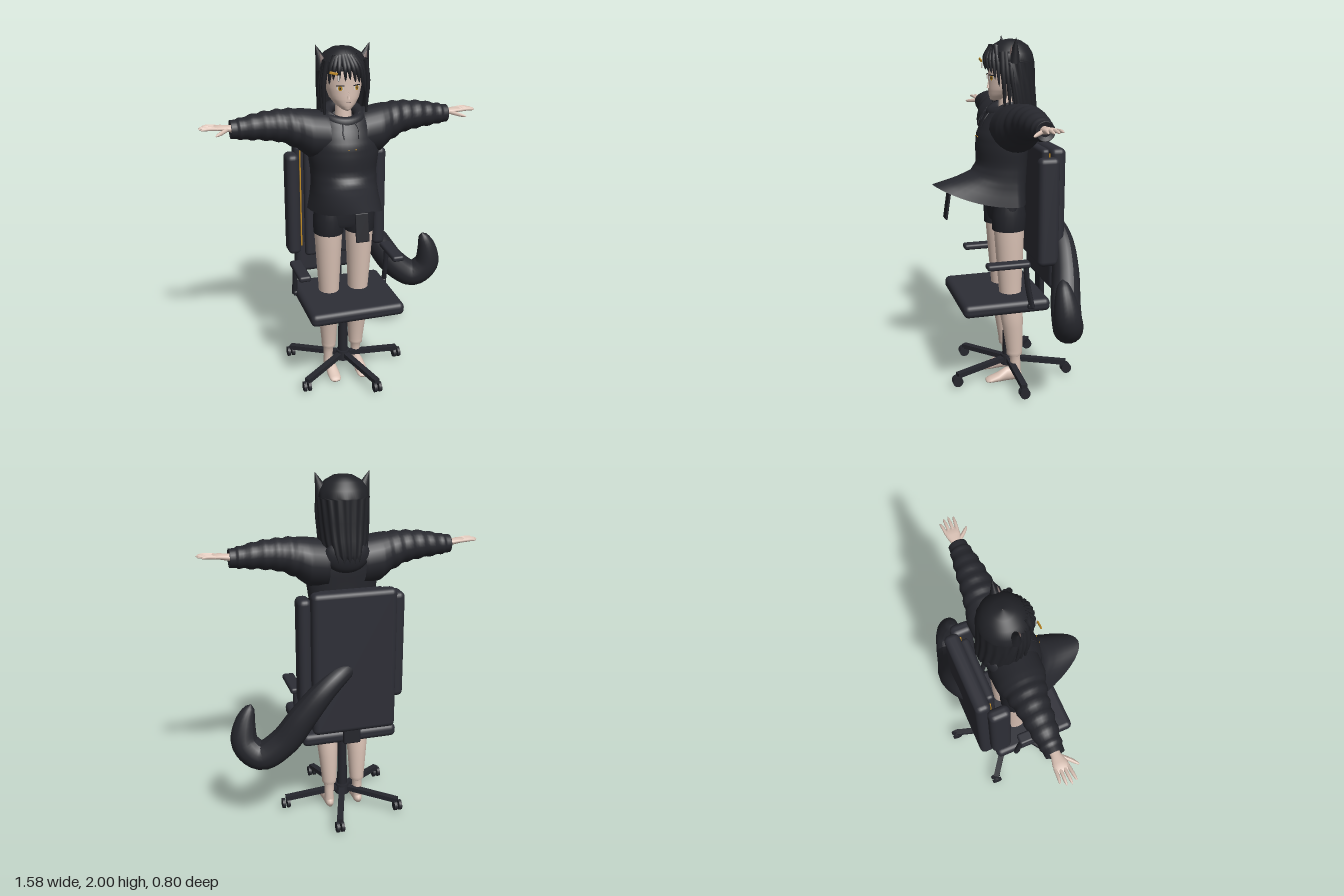
import * as THREE from 'three';
import { RoundedBoxGeometry } from 'three/addons/geometries/RoundedBoxGeometry.js';

const V = (x, y, z) => new THREE.Vector3(x, y, z);
const mat = (name, color, side = THREE.DoubleSide) => {
  const m = new THREE.MeshStandardMaterial({ color, side });
  m.name = name;
  return m;
};

// Skin a list of rings (arrays of points) with quads
function loft(rings, closed = true) {
  const n = rings[0].length, pos = [], idx = [];
  rings.forEach(r => r.forEach(p => pos.push(p.x, p.y, p.z)));
  for (let j = 0; j < rings.length - 1; j++) {
    for (let i = 0; i < (closed ? n : n - 1); i++) {
      const k = (i + 1) % n, a = j * n + i, b = j * n + k, c = a + n, d = b + n;
      idx.push(a, b, c, b, d, c);
    }
  }
  const g = new THREE.BufferGeometry();
  g.setAttribute('position', new THREE.Float32BufferAttribute(pos, 3));
  g.setIndex(idx);
  g.computeVertexNormals();
  return g;
}

// Ellipse ring across the given axis
function ring(axis, x, y, z, ru, rv = ru, n = 24) {
  return Array.from({ length: n }, (_, i) => {
    const a = i / n * Math.PI * 2, u = Math.cos(a) * ru, v = Math.sin(a) * rv;
    if (axis === 'x') return V(x, y + u, z + v);
    if (axis === 'y') return V(x + u, y, z + v);
    return V(x + u, y + v, z);
  });
}

// Insert evenly interpolated rows between key rows
function dense(keys, n) {
  const out = [];
  keys.slice(0, -1).forEach((k, j) => {
    for (let i = 0; i < n; i++) out.push(k.map((v, c) => v + (keys[j + 1][c] - v) * i / n));
  });
  out.push(keys[keys.length - 1]);
  return out;
}

// Tube whose radius follows a rule along its length
function taper(points, radius, n = 12, sides = 8) {
  const curve = new THREE.CatmullRomCurve3(points.map(p => V(...p)));
  const g = new THREE.TubeGeometry(curve, n, 1, sides), p = g.attributes.position, v = V(0, 0, 0);
  for (let i = 0; i < p.count; i++) {
    const u = Math.floor(i / (sides + 1)) / n, c = curve.getPointAt(u);
    v.fromBufferAttribute(p, i).sub(c).multiplyScalar(Math.max(radius(u), 0.0003)).add(c);
    p.setXYZ(i, v.x, v.y, v.z);
  }
  g.computeVertexNormals();
  return g;
}

export function createModel() {
  const model = new THREE.Group();
  const M = {
    hoodie: mat('hoodie cloth', 0x26272d), hair: mat('hair black', 0x212227),
    skin: mat('skin', 0xdac2b5), shorts: mat('shorts cloth', 0x222329),
    chair: mat('chair padding', 0x2d2e36, THREE.FrontSide), frame: mat('chair frame', 0x25262d),
    gold: mat('gold', 0xc08a22), inner: mat('inner ear', 0x7a6a68), white: mat('eye white', 0xdcd8d4),
  };
  const add = (name, geo, m, x = 0, y = 0, z = 0, parent = model) => {
    const o = new THREE.Mesh(geo, m);
    o.name = name;
    o.position.set(x, y, z);
    parent.add(o);
    return o;
  };
  const pad = (name, w, h, d, x, y, z, r = 0.025, m = M.chair) =>
    add(name, new RoundedBoxGeometry(w, h, d, 3, r), m, x, y, z);

  // Chair padding
  pad('seat', 0.55, 0.075, 0.5, 0, 0.528, 0.04, 0.03);
  pad('backrest', 0.47, 0.81, 0.085, 0, 1.005, -0.257, 0.03);
  pad('backCushion', 0.37, 0.68, 0.05, 0, 1.06, -0.2, 0.02);
  pad('backBracket', 0.1, 0.14, 0.03, 0, 0.57, -0.23, 0.01, M.frame);
  for (const s of [-1, 1]) {
    pad('backWing', 0.075, 0.61, 0.12, s * 0.26, 1.065, -0.187, 0.03);
    pad('backStripe', 0.008, 0.6, 0.009, s * 0.203, 1.08, -0.212, 0.002, M.gold);
    const top = s < 0 ? 0.737 : 0.787;
    pad('armPad', 0.07, 0.034, 0.245, s * 0.277, top, 0.043, 0.014);
    add('armPost', taper([[s * 0.282, 0.53, -0.095], [s * 0.282, 0.65, -0.07], [s * 0.282, top, -0.055]],
      () => 0.016), M.frame);
    pad('armBracket', 0.06, 0.03, 0.04, s * 0.262, 0.535, -0.09, 0.01, M.frame);
  }

  // Five-star base with twin casters
  add('column', new THREE.CylinderGeometry(0.026, 0.03, 0.42, 20), M.frame, 0, 0.3, -0.033);
  add('hub', new THREE.CylinderGeometry(0.04, 0.045, 0.06, 20), M.frame, 0, 0.1, -0.033);
  for (let i = 0; i < 5; i++) {
    const a = i * Math.PI * 0.4, x = Math.cos(a) * 0.35, z = Math.sin(a) * 0.35 - 0.033;
    const leg = add('baseLeg', new THREE.BoxGeometry(0.035, 0.028, 0.35), M.frame, x / 2, 0.093, (z - 0.033) / 2);
    leg.lookAt(x, 0.08, z);
    for (const s of [-1, 1]) {
      add('caster', new THREE.CylinderGeometry(0.03, 0.03, 0.017, 20).rotateZ(Math.PI / 2), M.frame, x + s * 0.014, 0.046, z);
    }
  }

  // Tail
  const tailRadius = u => u < 0.75 ? 0.045 + 0.038 * Math.sin(u / 0.75 * Math.PI * 0.62)
    : 0.08 * Math.sqrt(Math.max(0, 1 - ((u - 0.75) / 0.25) ** 1.4));
  add('tail', taper([[0, 0.98, -0.23], [0.08, 0.95, -0.28], [0.18, 0.87, -0.3], [0.29, 0.73, -0.285], [0.4, 0.57, -0.25],
    [0.52, 0.492, -0.22], [0.6, 0.56, -0.19], [0.595, 0.68, -0.175], [0.556, 0.785, -0.17]], tailRadius, 48, 18), M.hoodie);

  // Hoodie body: back y, front y, half width, front z, back z, front pinch
  const body = [[1.09, 1.2, 0.21, 0.4, -0.12, 0.22], [1.17, 1.235, 0.195, 0.265, -0.12, 0.1],
    [1.23, 1.265, 0.188, 0.18, -0.125, 0], [1.31, 1.31, 0.188, 0.147, -0.13, 0], [1.4, 1.4, 0.2, 0.15, -0.135, 0],
    [1.47, 1.47, 0.2, 0.143, -0.14, 0], [1.53, 1.53, 0.185, 0.118, -0.14, 0], [1.6, 1.59, 0.15, 0.085, -0.13, 0],
    [1.655, 1.61, 0.1, 0.055, -0.11, 0]];
  add('hoodieBody', loft(dense(body, 3).map(([yb, yf, rx, zf, zb, pinch]) =>
    Array.from({ length: 48 }, (_, i) => {
      const a = i / 48 * Math.PI * 2, c = Math.cos(a), f = Math.max(c, 0);
      return V(rx * Math.sin(a) * (1 - pinch * f), yb + (yf - yb) * f * f, -0.03 + (c > 0 ? (zf + 0.03) * c : (-0.03 - zb) * c));
    }))), M.hoodie);
  const collar = add('hoodCollar', new THREE.TorusGeometry(0.092, 0.034, 12, 36), M.hoodie, 0, 1.617, -0.03);
  collar.rotation.x = Math.PI / 2 + 0.35;
  add('hood', new THREE.SphereGeometry(1, 24, 16).scale(0.125, 0.1, 0.05), M.hoodie, 0, 1.57, -0.13);
  const flap = pad('frontFlap', 0.075, 0.16, 0.012, 0, 1.08, 0.32, 0.005, M.shorts);
  flap.rotation.x = -0.15;

  // Shorts
  add('shortsHips', loft([[0.985, 0.16], [1.01, 0.174], [1.08, 0.175], [1.18, 0.165]].map(([y, r]) =>
    ring('y', 0, y, -0.013, r, r * 0.55, 32))), M.shorts);

  for (const s of [-1, 1]) {
    // Sleeve with soft wrinkles
    const sleeve = [[0.1, 1.51, -0.03, 0.132], [0.2, 1.525, -0.035, 0.132], [0.27, 1.555, -0.04, 0.108],
      [0.35, 1.575, -0.045, 0.089], [0.45, 1.58, -0.045, 0.076], [0.55, 1.575, -0.045, 0.061],
      [0.59, 1.573, -0.045, 0.052], [0.62, 1.573, -0.045, 0.05], [0.612, 1.573, -0.045, 0.028]];
    add('sleeve', loft(dense(sleeve, 6).map(([x, y, z, r]) =>
      ring('x', s * x, y, z, r + (x > 0.25 && x < 0.58 ? 0.004 * Math.sin(x * 90) : 0)))), M.hoodie);
    // Hand and fingers
    add('hand', loft([[0.58, 1.575, 0.021, 0.026], [0.63, 1.58, 0.018, 0.026], [0.67, 1.587, 0.015, 0.038],
      [0.7, 1.589, 0.011, 0.04], [0.718, 1.589, 0.002, 0.034]].map(([x, y, u, v]) => ring('x', s * x, y, -0.045, u, v, 16))), M.skin);
    const tip = r => u => r * Math.sqrt(Math.max(0, 1 - u ** 4));
    [[-0.077, 0.765], [-0.056, 0.785], [-0.035, 0.79], [-0.014, 0.78]].forEach(([z, x]) =>
      add('finger', taper([[s * 0.69, 1.589, z], [s * 0.74, 1.593, z * 1.15 + 0.007], [s * x, 1.59, z * 1.3 + 0.014]], tip(0.009)), M.skin));
    add('thumb', taper([[s * 0.635, 1.58, -0.03], [s * 0.675, 1.572, 0.012], [s * 0.71, 1.566, 0.044]], tip(0.011)), M.skin);

    // Legs, shorts legs and feet
    const leg = [[1, 0.093, -0.013, 0.079], [0.94, 0.093, -0.014, 0.08], [0.75, 0.092, -0.018, 0.07],
      [0.58, 0.09, -0.022, 0.06], [0.5, 0.09, -0.025, 0.058], [0.4, 0.09, -0.033, 0.06], [0.3, 0.088, -0.043, 0.052],
      [0.2, 0.086, -0.05, 0.044], [0.165, 0.086, -0.05, 0.042], [0.158, 0.087, -0.053, 0.03], [0.09, 0.088, -0.058, 0.027],
      [0.04, 0.088, -0.058, 0.028]];
    add('leg', loft(dense(leg, 2).map(([y, x, z, r]) => ring('y', s * x, y, z, r, r * 1.08))), M.skin);
    add('shortsLeg', loft([[0.94, 0.078], [0.94, 0.086], [1.03, 0.088], [1.1, 0.075]].map(([y, r]) =>
      ring('y', s * 0.092, y, -0.013, r, r * 1.1))), M.shorts);
    add('foot', loft([[-0.095, 0.03, 0.001, 0.001], [-0.09, 0.03, 0.018, 0.022], [-0.065, 0.042, 0.028, 0.042],
      [0, 0.042, 0.031, 0.042], [0.05, 0.027, 0.036, 0.027], [0.1, 0.018, 0.035, 0.016], [0.12, 0.014, 0.026, 0.01],
      [0.125, 0.012, 0.001, 0.001]].map(([z, y, u, v]) => ring('z', s * 0.088, y, z, u, v))), M.skin);

    // Drawstrings and chest studs
    add('drawstring', taper([[s * 0.035, 1.59, 0.085], [s * 0.045, 1.56, 0.112], [s * 0.04, 1.515, 0.132]], () => 0.004), M.shorts);
    add('stud', new THREE.SphereGeometry(0.004, 8, 6), M.gold, s * 0.02, 1.46, 0.146);

    // Eyes, facing along the curve of the face
    const eye = new THREE.Group();
    eye.name = 'eye';
    eye.position.set(s * 0.044, 1.78, 0.07);
    eye.rotation.y = s * 0.48;
    model.add(eye);
    const disc = (w, h) => new THREE.CircleGeometry(1, 24).scale(w, h, 1);
    add('eyeWhite', disc(0.021, 0.014), M.white, 0, 0, 0.002, eye);
    add('iris', disc(0.012, 0.0135), M.gold, 0, 0, 0.004, eye);
    add('pupil', disc(0.004, 0.007), M.hair, 0, 0, 0.006, eye);
    add('lash', new THREE.BoxGeometry(0.044, 0.005, 0.004), M.hair, 0, 0.014, 0.004, eye);

    // Cat ears
    const ear = new THREE.Group();
    ear.name = 'ear';
    ear.position.set(s * 0.128, 1.937, -0.035);
    ear.rotation.z = -s * 0.35;
    model.add(ear);
    add('earShell', new THREE.ConeGeometry(0.046, 0.13, 20).scale(1, 1, 0.75), M.hair, 0, 0, 0, ear);
    add('earInner', new THREE.ConeGeometry(0.022, 0.07, 16).scale(1, 1, 0.6), M.inner, -s * 0.004, -0.012, 0.019, ear);

    // Side locks framing the face
    for (let i = 0; i < 3; i++) {
      add('sideLock', taper([[s * 0.105, 1.92, 0.03 - i * 0.02], [s * (0.123 + i * 0.005), 1.8, 0.028 - i * 0.022],
        [s * (0.12 + i * 0.007), 1.69, 0.02 - i * 0.025], [s * (0.115 + i * 0.009), 1.58 + i * 0.015, 0.02 - i * 0.03]],
      u => 0.017 * Math.sqrt(1 - u)), M.hair);
    }
  }

  // Head: y, half width, front z, back z
  add('neck', new THREE.CylinderGeometry(0.04, 0.05, 0.16, 20), M.skin, 0, 1.63, -0.025);
  const head = [[1.652, 0.002, 0.052, 0.045], [1.66, 0.024, 0.068, 0], [1.685, 0.056, 0.075, -0.06], [1.72, 0.082, 0.078, -0.1],
    [1.78, 0.1, 0.077, -0.13], [1.85, 0.107, 0.077, -0.14], [1.91, 0.1, 0.06, -0.13], [1.95, 0.06, 0.02, -0.09]];
  add('head', loft(dense(head, 3).map(([y, rx, zf, zb]) => ring('y', 0, y, (zf + zb) / 2, rx, (zf - zb) / 2, 32))), M.skin);
  add('nose', new THREE.ConeGeometry(0.009, 0.04, 10), M.skin, 0, 1.742, 0.079);
  add('mouth', new THREE.BoxGeometry(0.022, 0.003, 0.004), M.inner, 0, 1.703, 0.0765);

  // Hair shell: y, half width, front z, back z, half sweep in half turns
  const hair = [[1.985, 0.001, -0.044, -0.046, 1], [1.976, 0.055, 0.01, -0.1, 1], [1.95, 0.1, 0.054, -0.14, 1],
    [1.91, 0.13, 0.08, -0.165, 1], [1.872, 0.139, 0.088, -0.174, 1], [1.865, 0.14, 0.088, -0.175, 0.68],
    [1.75, 0.14, 0.088, -0.178, 0.61], [1.65, 0.136, 0.08, -0.187, 0.56], [1.58, 0.13, 0.07, -0.195, 0.5],
    [1.525, 0.118, 0.06, -0.188, 0.46]];
  add('hairShell', loft(hair.map(([y, rx, zf, zb, sweep], j) => Array.from({ length: 73 }, (_, i) => {
    const a = (i / 36 - 1) * sweep * Math.PI, c = Math.cos(a);
    const strand = j > 4 ? 1 + 0.025 * Math.sin(i * 1.05) : 1;
    const cut = j === hair.length - 1 ? 0.035 * Math.abs(Math.sin(i * 0.52)) : 0;
    return V(rx * strand * Math.sin(a), y + cut, -0.045 - c * strand * (c > 0 ? -0.045 - zb : zf + 0.045));
  }), ), false), M.hair);

  // Bangs swept from an off-centre parting: end x, end y, end z
  [[-0.1, 1.8, 0.052], [-0.082, 1.825, 0.068], [-0.055, 1.815, 0.08], [-0.02, 1.82, 0.088], [0.005, 1.825, 0.09],
    [0.035, 1.81, 0.086], [0.06, 1.805, 0.076], [0.085, 1.775, 0.062], [0.104, 1.74, 0.045]].forEach(([x, y, z]) =>
    add('bang', taper([[x * 0.5 - 0.015, 1.945, 0.045], [x * 0.85 - 0.008, 1.885, z + 0.004], [x, y, z]],
      u => 0.018 * Math.sqrt(1 - u)), M.hair));

  // Hair ornament
  const clip = pad('hairClip', 0.045, 0.014, 0.008, -0.09, 1.868, 0.1, 0.003, M.gold);
  clip.rotation.z = -0.25;
  pad('hairCharm', 0.01, 0.03, 0.006, -0.062, 1.84, 0.1, 0.002, M.white);
  return model;
}
